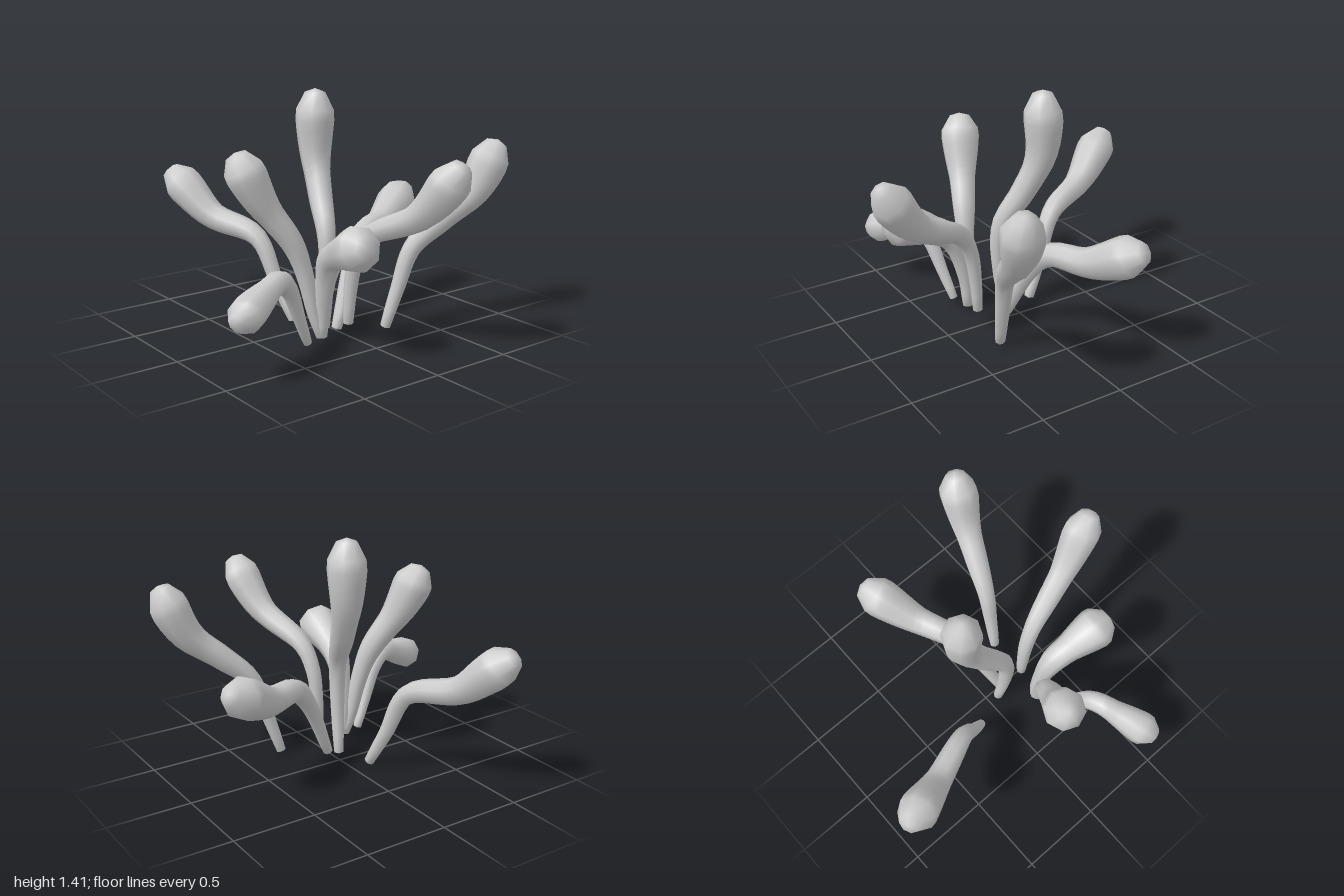
import * as THREE from 'three';
import { mergeVertices } from 'three/addons/utils/BufferGeometryUtils.js';

const SEGMENTS = 24;
const SIDES = 8;

// Thickness along a stalk: thin foot, swelling to a blunt club at the tip
const PROFILE = [
  [0, 0], [0.008, 0.03], [0.08, 0.036], [0.2, 0.043], [0.38, 0.054], [0.52, 0.07],
  [0.66, 0.08], [0.78, 0.104], [0.87, 0.119], [0.92, 0.114], [0.985, 0.062], [1, 0],
];

function radiusAt(t) {
  const i = Math.max(1, PROFILE.findIndex(([key]) => key >= t - 1e-6));
  const [t0, r0] = PROFILE[i - 1];
  const [t1, r1] = PROFILE[i];
  return THREE.MathUtils.lerp(r0, r1, (t - t0) / (t1 - t0));
}

// The rings next to the ends sit close to them, for blunt caps
function ringPosition(i) {
  if (i === 1) return 0.008;
  if (i === SEGMENTS - 1) return 0.985;
  return i / SEGMENTS;
}

// Each stalk bends in the upright plane through its foot and tip.
// A bend is [fraction of the way from foot to tip, height].
const STALKS = [
  { name: 'tallCentreStalk', size: 0.98, foot: [0.07, 0.01, 0.04], tip: [-0.13, 1.42, -0.04],
    bends: [[-0.2, 0.3], [-0.15, 0.6], [0.45, 0.8], [0.96, 1.03]] },
  { name: 'backRightStalk', size: 1.03, foot: [0.13, 0.01, 0], tip: [-0.25, 0.71, -0.87],
    bends: [[0.22, 0.4], [0.36, 0.53], [0.62, 0.55], [0.87, 0.65]] },
  { name: 'backLeftStalk', size: 1, foot: [0.29, 0.015, -0.24], tip: [0.54, 1.12, -0.89],
    bends: [[0.11, 0.25], [0.24, 0.5], [0.5, 0.66], [0.78, 0.82]] },
  { name: 'leftStalk', size: 0.97, foot: [0.28, 0.09, 0.03], tip: [0.97, 1.11, -0.18],
    bends: [[0.02, 0.3], [0.07, 0.5], [0.19, 0.64], [0.66, 0.81]] },
  { name: 'shortLeftStalk', size: 1.08, foot: [0.25, 0.04, 0.2], tip: [0.75, 0.69, 0.28],
    bends: [[0.03, 0.25], [0.2, 0.52], [0.45, 0.595], [0.85, 0.67]] },
  { name: 'droopingFrontStalk', size: 0.86, foot: [0.28, 0.04, 0.32], tip: [0.54, 0.35, 0.96],
    bends: [[0.12, 0.2], [0.29, 0.42], [0.42, 0.48], [0.63, 0.44]] },
  { name: 'frontStalk', size: 1.02, foot: [0.25, 0.04, 0.2], tip: [0.04, 1.13, 0.63],
    bends: [[0.1, 0.2], [0.19, 0.4], [0.34, 0.6], [0.72, 0.86]] },
  { name: 'rightStalk', size: 1, foot: [-0.14, 0.015, 0.115], tip: [-0.98, 0.87, 0.48],
    bends: [[0.13, 0.24], [0.28, 0.51], [0.64, 0.61], [0.86, 0.77]] },
];

function stalkCurve(foot, tip, bends) {
  const start = new THREE.Vector3(...foot);
  const end = new THREE.Vector3(...tip);
  const middle = bends.map(([f, y]) => start.clone().lerp(end, f).setY(y));
  return new THREE.CatmullRomCurve3([start, ...middle, end]);
}

// Unit tube whose rings are pulled in to the profile radius
function stalkGeometry(curve, size) {
  const tube = new THREE.TubeGeometry(curve, SEGMENTS, 1, SIDES);
  const position = tube.attributes.position;
  const vertex = new THREE.Vector3();
  for (let i = 0; i <= SEGMENTS; i++) {
    const t = ringPosition(i);
    const oldCentre = curve.getPointAt(i / SEGMENTS);
    const centre = curve.getPointAt(t);
    const radius = radiusAt(t) * size;
    for (let j = 0; j <= SIDES; j++) {
      const k = i * (SIDES + 1) + j;
      vertex.fromBufferAttribute(position, k).sub(oldCentre).multiplyScalar(radius).add(centre);
      position.setXYZ(k, vertex.x, vertex.y, vertex.z);
    }
  }
  // Weld the seam and both ends so the shading is continuous
  tube.deleteAttribute('uv');
  tube.deleteAttribute('normal');
  const welded = mergeVertices(tube, 1e-4);
  welded.computeVertexNormals();
  return welded;
}

export function createModel() {
  const group = new THREE.Group();
  group.name = 'stalkCluster';
  const material = new THREE.MeshStandardMaterial({ color: 0xcccccc });
  for (const { name, size, foot, tip, bends } of STALKS) {
    const mesh = new THREE.Mesh(stalkGeometry(stalkCurve(foot, tip, bends), size), material);
    mesh.name = name;
    group.add(mesh);
  }
  return group;
}
